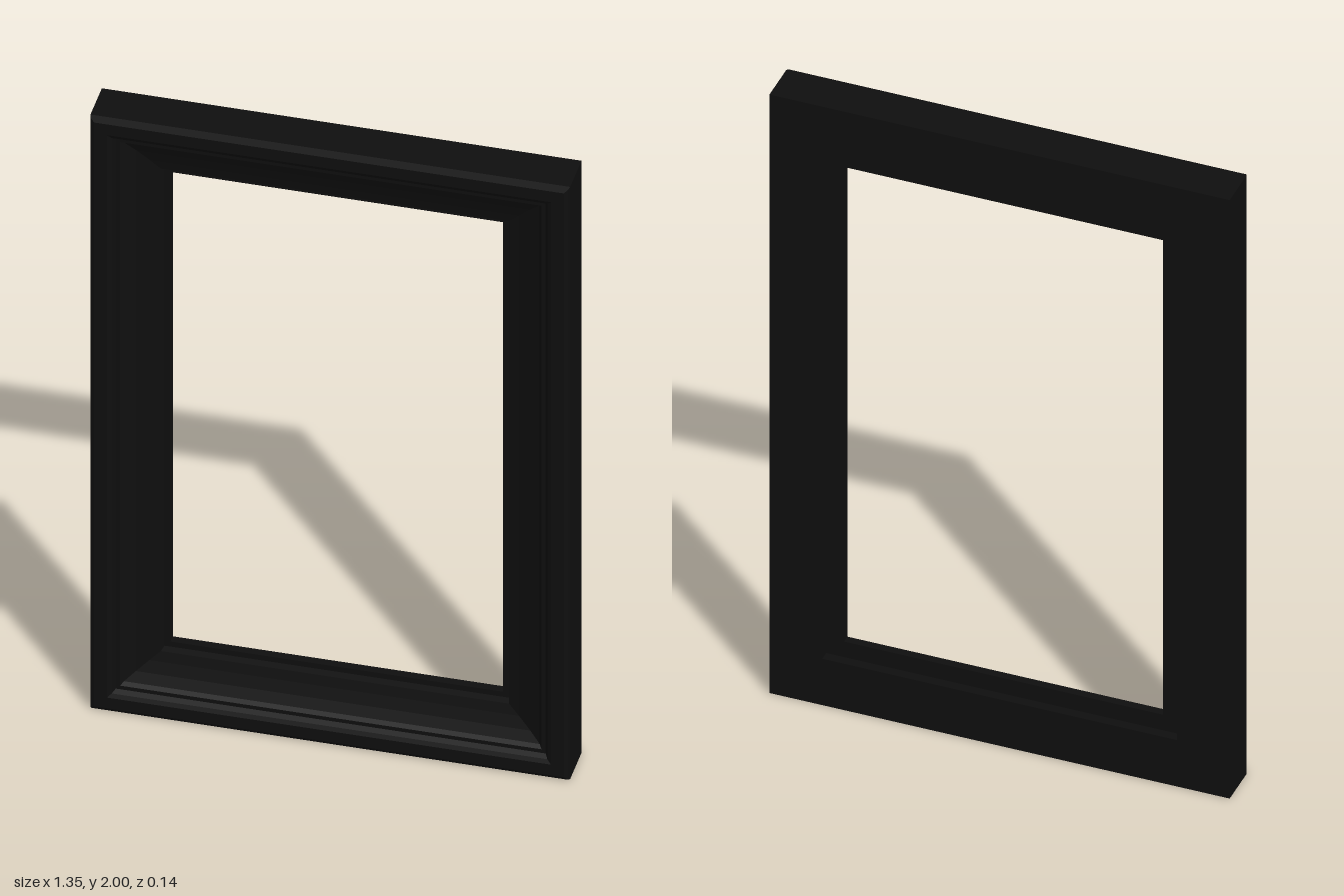
import * as THREE from 'three';

const HALF_W = 0.675, HALF_H = 1;

// Moulding cross-section: [distance in from the outer edge, z]
const PROFILE = [
  [0, -0.07], [0, 0.055], [0.004, 0.065], [0.014, 0.07], [0.05, 0.07], [0.062, 0.064],
  [0.07, 0.05], [0.082, 0.05], [0.09, 0.038], [0.12, 0.024], [0.155, 0.012],
  [0.185, 0.004], [0.19, -0.016], [0.207, -0.016],
  [0.207, -0.041], [0.155, -0.041], [0.155, -0.07], // rebate at the back
];

// Corners in order, seen from the front
const CORNERS = [[-1, -1], [1, -1], [1, 1], [-1, 1]];
const NAMES = ['bottomRail', 'rightSideRail', 'topRail', 'leftSideRail'];
NAMES[1] = 'leftRail';  // the model's own left is +x
NAMES[3] = 'rightRail';

// Profile point carried to a mitred corner
function mitre([sx, sy], [d, z]) {
  return [sx * (HALF_W - d), HALF_H + sy * (HALF_H - d), z];
}

// One rail: the profile swept between two mitred corners
function railGeometry(start, end) {
  const positions = [];
  PROFILE.forEach((p, i) => {
    const q = PROFILE[(i + 1) % PROFILE.length];
    const a = mitre(start, p), b = mitre(end, p);
    const c = mitre(end, q), d = mitre(start, q);
    positions.push(...a, ...b, ...c, ...a, ...c, ...d);
  });
  const geometry = new THREE.BufferGeometry();
  geometry.setAttribute('position', new THREE.Float32BufferAttribute(positions, 3));
  geometry.computeVertexNormals();
  return geometry;
}

export function createModel() {
  const group = new THREE.Group();
  group.name = 'pictureFrame';
  const black = new THREE.MeshStandardMaterial({ color: 0x0f0f0f });
  black.name = 'black';

  CORNERS.forEach((corner, i) => {
    const rail = new THREE.Mesh(railGeometry(corner, CORNERS[(i + 1) % 4]), black);
    rail.name = NAMES[i];
    group.add(rail);
  });
  return group;
}
